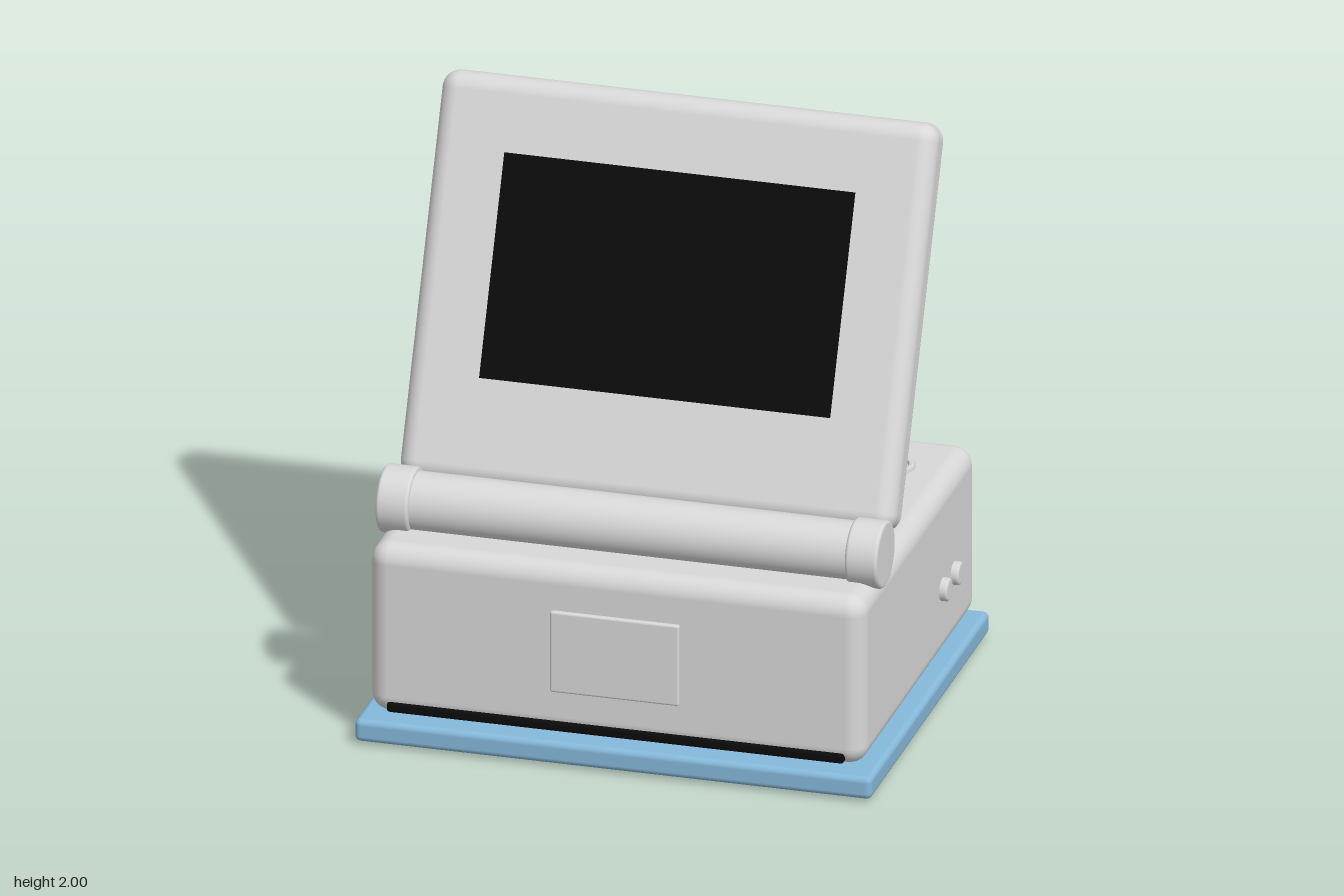
import * as THREE from 'three';
import { RoundedBoxGeometry } from 'three/addons/geometries/RoundedBoxGeometry.js';

const material = (name, color) => {
  const m = new THREE.MeshStandardMaterial({ color });
  m.name = name;
  return m;
};

export function createModel() {
  const model = new THREE.Group();
  const grey = material('light grey casing', 0xd8d8d8);
  const blue = material('blue base', 0x86b9db);
  const black = material('black', 0x0b0b0b);

  const add = (name, geometry, mat, x, y, z, parent = model) => {
    const mesh = new THREE.Mesh(geometry, mat);
    mesh.name = name;
    mesh.position.set(x, y, z);
    parent.add(mesh);
    return mesh;
  };
  const rounded = (w, h, d, r, s = 5) => new RoundedBoxGeometry(w, h, d, s, r);

  // Solid of revolution along y with rounded rims, centred on the origin
  const roundedDisc = (radius, height, bevel) => {
    const points = [new THREE.Vector2(0, -height / 2)];
    for (const [side, start] of [[-1, -Math.PI / 2], [1, 0]]) {
      for (let i = 0; i <= 4; i++) {
        const a = start + (i / 4) * Math.PI / 2;
        points.push(new THREE.Vector2(
          radius - bevel + bevel * Math.cos(a),
          side * (height / 2 - bevel) + bevel * Math.sin(a)));
      }
    }
    points.push(new THREE.Vector2(0, height / 2));
    return new THREE.LatheGeometry(points, 40);
  };

  // Base plate and its feet
  add('basePlate', rounded(1.74, 0.078, 1.41, 0.02, 3), blue, 0, 0.049, 0);
  for (const x of [-0.67, 0.67]) {
    for (const z of [-0.503, 0.503]) {
      add('foot', new THREE.CylinderGeometry(0.075, 0.075, 0.014, 32), black, x, 0.007, z);
    }
  }

  // Main body with front hatch and slot
  add('body', rounded(1.67, 0.595, 1.34, 0.065), grey, 0, 0.3975, 0);
  add('frontHatch', rounded(0.435, 0.285, 0.03, 0.008, 3), grey, 0, 0.398, 0.669);
  add('frontSlot', rounded(1.54, 0.035, 0.06, 0.012, 3), black, 0, 0.132, 0.649);

  // Rear ventilation slats
  for (let i = 0; i < 6; i++) {
    add('ventSlat', rounded(1.0, 0.025, 0.03, 0.01, 3), black, 0, 0.245 + i * 0.074, -0.664);
  }

  // Knobs on both sides
  for (const side of [-1, 1]) {
    for (const z of [-0.265, -0.4]) {
      const knob = add('sideKnob', roundedDisc(0.039, 0.05, 0.009), grey, side * 0.836, 0.346, z);
      knob.rotation.z = -side * Math.PI / 2;
    }
  }

  // Power button inside a collar
  const collar = [[0.05, 0.68], [0.05, 0.704], [0.054, 0.709], [0.066, 0.709], [0.072, 0.704], [0.072, 0.68]]
    .map(([r, y]) => new THREE.Vector2(r, y)).reverse();
  const collarMaterial = grey;
  add('buttonCollar', new THREE.LatheGeometry(collar.reverse(), 40), collarMaterial, 0.63, 0, -0.405)
    .geometry.scale(1, 1, 1);
  // Reversed winding keeps the collar facing outwards
  const collarMesh = model.getObjectByName('buttonCollar');
  const index = collarMesh.geometry.index.array;
  for (let i = 0; i < index.length; i += 3) [index[i], index[i + 1]] = [index[i + 1], index[i]];
  collarMesh.geometry.computeVertexNormals();
  add('powerButton', roundedDisc(0.047, 0.03, 0.008), grey, 0.63, 0.692, -0.405);

  // Hinge roll with end caps
  const roll = new THREE.Group();
  roll.name = 'hingeRoll';
  roll.position.set(0, 0.765, 0.437);
  model.add(roll);
  const tube = add('hingeTube', new THREE.CylinderGeometry(0.1, 0.1, 1.5, 48), grey, 0, 0, 0, roll);
  tube.rotation.z = Math.PI / 2;
  for (const side of [-1, 1]) {
    const cap = add('hingeCap', roundedDisc(0.1125, 0.11, 0.012), grey, side * 0.79, 0, 0, roll);
    cap.rotation.z = Math.PI / 2;
  }

  // Tilted lid with display
  const lid = new THREE.Group();
  lid.name = 'lid';
  lid.position.set(0, 1.377, 0);
  lid.rotation.x = -0.419;
  model.add(lid);
  add('lidShell', rounded(1.67, 1.334, 0.16, 0.06), grey, 0, 0, 0, lid);
  add('display', new THREE.BoxGeometry(1.18, 0.735, 0.009), black, 0, 0.049, 0.083, lid);

  return model;
}
